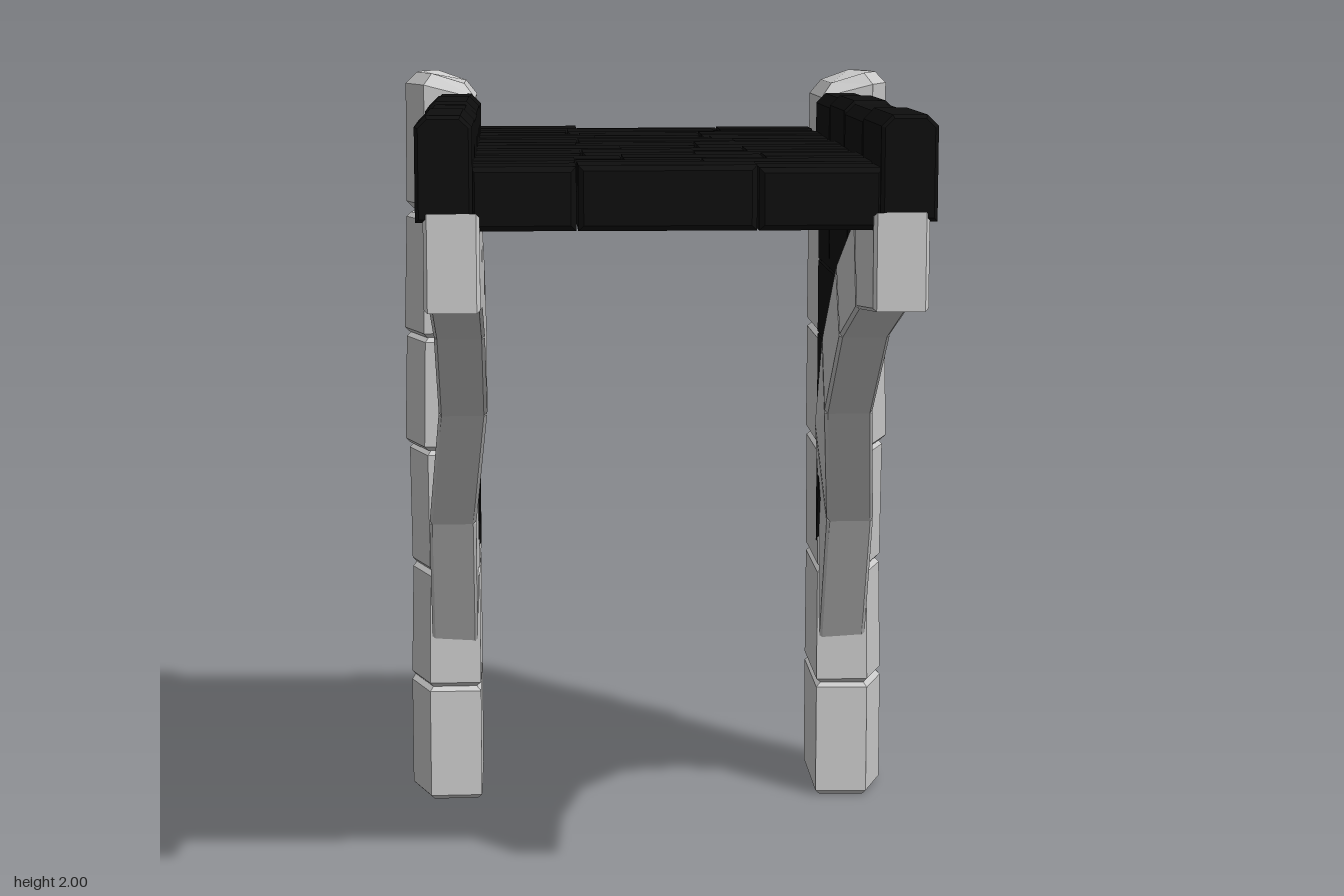
import * as THREE from 'three';

const stone = new THREE.MeshStandardMaterial({ color: 0xcccccc, flatShading: true });
const dark = new THREE.MeshStandardMaterial({ color: 0x0e0e0e, flatShading: true });

// Bevelled prism: outline in its own plane, extruded from 0 to depth
function prism(points, depth, bevel) {
  const shape = new THREE.Shape(points.map(([a, b]) => new THREE.Vector2(a, b)));
  const geo = new THREE.ExtrudeGeometry(shape, {
    depth: depth - 2 * bevel, bevelEnabled: true, bevelThickness: bevel,
    bevelSize: bevel, bevelOffset: -bevel, bevelSegments: 1,
  });
  return geo.translate(0, 0, bevel);
}

// Prism with a [z, y] outline, running along x from x0 to x1
function sidePrism(points, x0, x1, bevel) {
  return prism(points.map(([z, y]) => [-z, y]), x1 - x0, bevel)
    .rotateY(Math.PI / 2).translate(x0, 0, 0);
}

// Move every vertex by a rule
function warp(geo, rule) {
  const p = geo.attributes.position;
  const v = new THREE.Vector3();
  for (let i = 0; i < p.count; i++) {
    v.fromBufferAttribute(p, i);
    rule(v);
    p.setXYZ(i, v.x, v.y, v.z);
  }
  geo.computeVertexNormals();
  return geo;
}

function add(parent, name, geo, material) {
  const mesh = new THREE.Mesh(geo, material);
  mesh.name = name;
  parent.add(mesh);
}

function group(parent, name) {
  const g = new THREE.Group();
  g.name = name;
  parent.add(g);
  return g;
}

// Pillar plan [x, z] and the stacked blocks: bottom, top, bottom scale, top scale
const PLAN = [[0.465, -0.555], [0.605, -0.55], [0.66, -0.71], [0.645, -0.86], [0.585, -0.925], [0.465, -0.905]];
const PILLAR = [
  [0, 0.32, 1.0, 1.0], [0.32, 0.645, 1.0, 0.96], [0.645, 0.98, 0.97, 0.99],
  [0.98, 1.29, 1.05, 1.01], [1.29, 1.62, 1.04, 0.99], [1.62, 2.0, 0.99, 0.98],
];

// Arch joints [z, y] along the lower and the upper edge
const LOWER = [[0.94, 1.52], [0.6, 1.49], [0.24, 1.38], [-0.11, 1.14], [-0.37, 0.81], [-0.56, 0.44]];
const UPPER = [[0.94, 1.74], [0.54, 1.70], [0.14, 1.55], [-0.19, 1.33], [-0.45, 1.07], [-0.56, 0.86]];

// Wall bricks between arch and parapet, [z, y] outlines
const BRICKS = [
  [[0.54, 1.72], [0.165, 1.54], [0.165, 1.72]],
  [[0.165, 1.7], [0.165, 1.54], [0.07, 1.5], [-0.27, 1.5], [-0.27, 1.7]],
  [[-0.27, 1.7], [-0.27, 1.5], [-0.56, 1.5], [-0.56, 1.7]],
  [[0.07, 1.5], [-0.06, 1.4], [-0.06, 1.5]],
  [[-0.06, 1.5], [-0.06, 1.4], [-0.22, 1.3], [-0.56, 1.3], [-0.56, 1.5]],
  [[-0.22, 1.3], [-0.42, 1.09], [-0.56, 1.09], [-0.56, 1.3]],
  [[-0.42, 1.09], [-0.56, 0.72], [-0.56, 1.09]],
];

// Deck rows from back to front: x positions of the joints
const DECK = [[-0.19, 0.2], [-0.22, 0.18], [-0.19, 0.13], [-0.15, 0.15], [-0.2, 0.2], [-0.21, 0.09],
  [-0.1, 0.2], [-0.2, 0.07], [-0.11, 0.22], [-0.22, 0.07], [-0.22, 0.18]];

const PARAPET = [0.94, 0.565, 0.165, -0.19, -0.555];

function buildSide(root, side, label) {
  const range = (a, b) => (side > 0 ? [a, b] : [-b, -a]);

  const pillar = group(root, label + 'Pillar');
  PILLAR.forEach(([y0, y1, s0, s1], i) => {
    const last = i === PILLAR.length - 1;
    const geo = prism(PLAN.map(([x, z]) => [side * x, -z]), y1 - y0, last ? 0.03 : 0.012)
      .rotateX(-Math.PI / 2).translate(0, y0, 0);
    warp(geo, (v) => {
      const s = THREE.MathUtils.lerp(s0, s1, (v.y - y0) / (y1 - y0));
      v.x = side * (0.465 + (side * v.x - 0.465) * s);
      v.z = -0.555 + (v.z + 0.555) * s;
      // the crown slopes down towards the deck
      if (last && v.y > 1.9) v.y -= 0.035 * THREE.MathUtils.clamp((0.54 - side * v.x) / 0.06, 0, 1);
    });
    add(pillar, 'pillarBlock', geo, stone);
  });

  // Arch stones drift outwards near the pillar
  const arch = group(root, label + 'Arch');
  for (let i = 0; i < LOWER.length - 1; i++) {
    const outline = [LOWER[i], LOWER[i + 1], UPPER[i + 1], UPPER[i]];
    const geo = warp(sidePrism(outline, ...range(0.435, 0.56), 0.008), (v) => {
      v.x += side * 0.037 * THREE.MathUtils.clamp((1.15 - v.y) / 0.35, 0, 1);
    });
    add(arch, 'archStone', geo, stone);
  }

  const wall = group(root, label + 'Wall');
  for (const outline of BRICKS) add(wall, 'wallBrick', sidePrism(outline, ...range(0.46, 0.565), 0.004), dark);

  const parapet = group(root, label + 'Parapet');
  for (let i = 0; i < PARAPET.length - 1; i++) {
    const [a, b] = [PARAPET[i] - 0.002, PARAPET[i + 1] + 0.002];
    const low = i === 0 ? 1.72 : 1.69;
    const top = 1.955 - (i % 2) * 0.008;
    // cross-section in x and y, running along z
    const [x0, x1] = range(0.45, 0.577);
    const geo = prism([[x0, low], [x1, low], [x1, top - 0.025], [x1 - 0.025, top], [x0 + 0.025, top], [x0, top - 0.025]], a - b, 0.008)
      .translate(0, 0, b);
    add(parapet, 'parapetBlock', geo, dark);
  }
}

export function createModel() {
  const root = new THREE.Group();
  root.name = 'stoneBridgeSection';
  buildSide(root, 1, 'left');
  buildSide(root, -1, 'right');

  // Paved deck
  const deck = group(root, 'deck');
  const pitch = (0.93 + 0.9) / DECK.length;
  DECK.forEach((joints, row) => {
    const xs = [-0.46, ...joints, 0.46];
    const z0 = -0.9 + row * pitch;
    for (let i = 0; i < xs.length - 1; i++) {
      const [a, b] = [xs[i] + 0.002, xs[i + 1] - 0.002];
      const top = 1.845 - ((row + i * 2) % 3) * 0.003;
      const geo = prism([[a, 1.7], [b, 1.7], [b, top], [a, top]], pitch - 0.003, 0.012).translate(0, 0, z0);
      add(deck, 'pavingSlab', geo, dark);
    }
  });
  return root;
}
